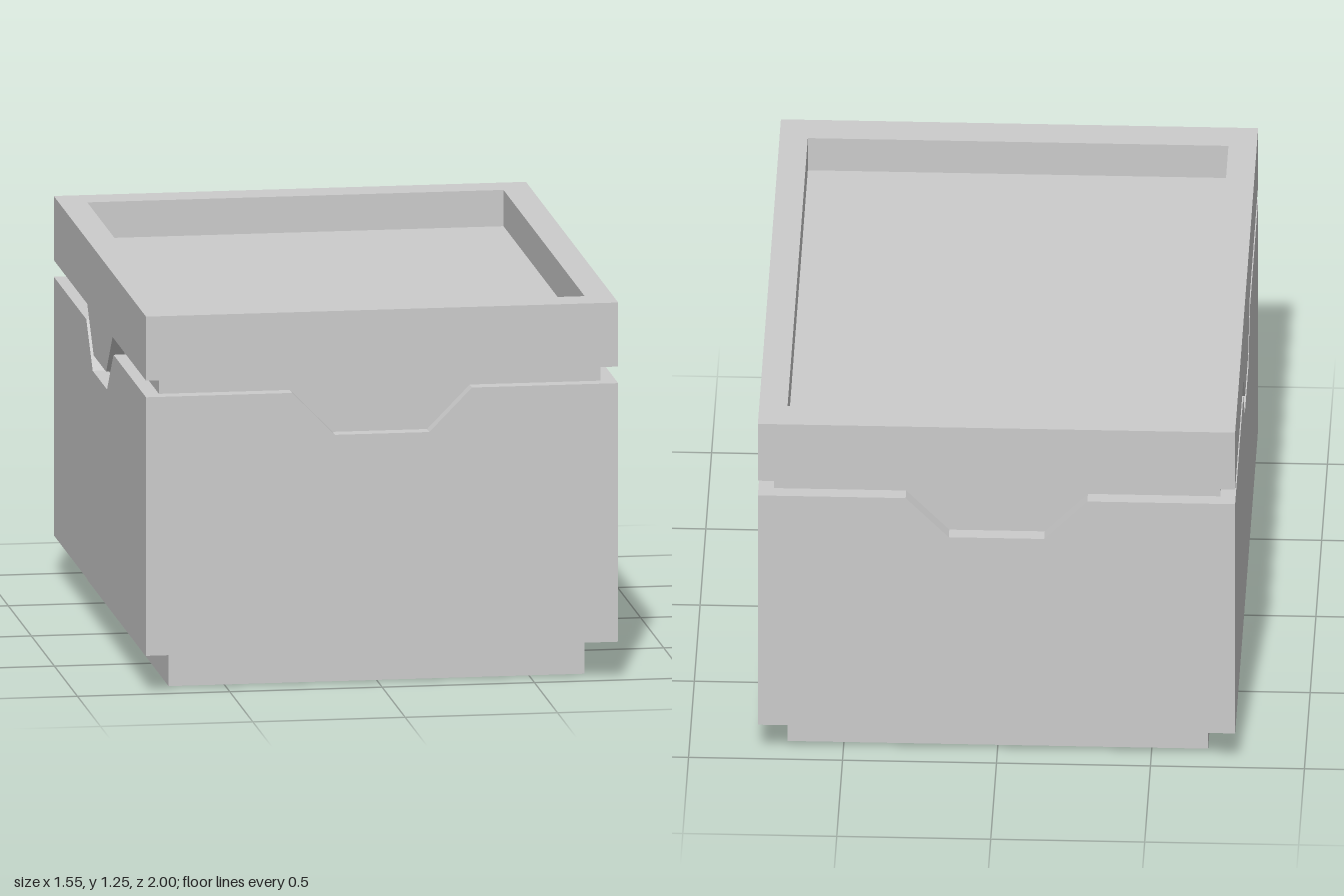
import * as THREE from 'three';

const material = new THREE.MeshStandardMaterial({ color: 0xcccccc, flatShading: true });

// Rectangular ring of points, counterclockwise from above. Every side has a corner
// and four notch points; the middle of each side can dip by `dip` (outer/inner = notch half widths).
function ring(hx, hz, y, dip = 0, outer = 0.285, inner = 0.145) {
  const points = [];
  for (let side = 0; side < 4; side++) {
    const along = side % 2 ? hz : hx;
    const out = side % 2 ? hx : hz;
    for (const [t, h] of [[-along, y], [-outer, y], [-inner, y - dip], [inner, y - dip], [outer, y]]) {
      const [x, z] = [[t, out], [out, -t], [-t, -out], [-out, t]][side];
      points.push(new THREE.Vector3(x, h, z));
    }
  }
  return points;
}

// Ring shrunk to a single point, used to close a flat end
const centre = (y) => ring(0, 0, y, 0, 0, 0);

// Skin stretched over successive rings
function loft(name, rings) {
  const positions = [];
  const addTriangle = (a, b, c) => {
    if (new THREE.Triangle(a, b, c).getArea() < 1e-8) return;
    for (const p of [a, b, c]) positions.push(p.x, p.y, p.z);
  };
  for (let r = 0; r < rings.length - 1; r++) {
    const a = rings[r], b = rings[r + 1], n = a.length;
    for (let i = 0; i < n; i++) {
      const j = (i + 1) % n;
      addTriangle(a[i], a[j], b[j]);
      addTriangle(a[i], b[j], b[i]);
    }
  }
  const geometry = new THREE.BufferGeometry();
  geometry.setAttribute('position', new THREE.Float32BufferAttribute(positions, 3));
  geometry.computeVertexNormals();
  const mesh = new THREE.Mesh(geometry, material);
  mesh.name = name;
  return mesh;
}

export function createModel() {
  const HX = 0.775, HZ = 1;         // outer half sizes
  const GX = HX - 0.05, GZ = HZ - 0.05; // groove floor half sizes
  const PX = 0.683, PZ = 0.88;      // plinth and tray half sizes
  const BOTTOM = 0.127, TOP = 1.25, FLOOR = 1.13;

  // Groove edges: level along the corners, dipping in the middle of each side
  const lowerEdge = (hx, hz) => ring(hx, hz, 0.983, 0.143, 0.295, 0.155);
  const upperEdge = (hx, hz) => ring(hx, hz, 1.038, 0.143, 0.275, 0.135);

  const model = new THREE.Group();
  model.name = 'crate';
  model.add(
    // Recessed foot
    loft('plinth', [centre(0), ring(PX, PZ, 0), ring(PX, PZ, BOTTOM)]),
    // Box body with the lower ledge of the groove
    loft('body', [ring(PX, PZ, BOTTOM), ring(HX, HZ, BOTTOM), lowerEdge(HX, HZ), lowerEdge(GX, GZ)]),
    // Floor of the groove between body and lid
    loft('groove', [lowerEdge(GX, GZ), upperEdge(GX, GZ)]),
    // Lid with its rim and sunken tray
    loft('lid', [upperEdge(GX, GZ), upperEdge(HX, HZ), ring(HX, HZ, TOP),
      ring(PX, PZ, TOP), ring(PX, PZ, FLOOR), centre(FLOOR)])
  );
  return model;
}
